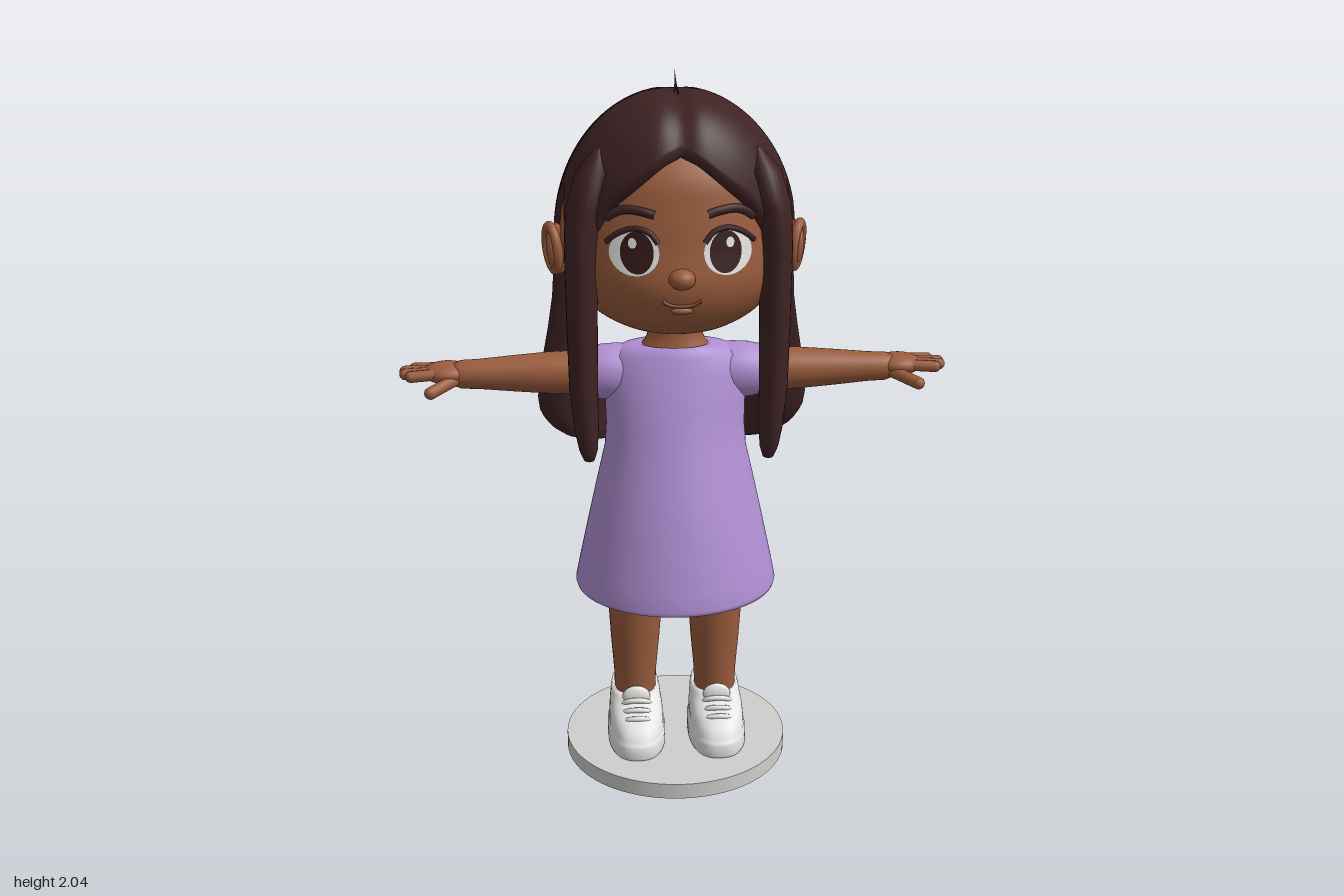
import * as THREE from 'three';

const material = (name, color, side = THREE.FrontSide) => {
  const m = new THREE.MeshStandardMaterial({ color, side });
  m.name = name;
  return m;
};

// Smooth interpolation through [key, value] points sorted by key
function smooth(points, x) {
  const n = points.length;
  if (x <= points[0][0]) return points[0][1];
  if (x >= points[n - 1][0]) return points[n - 1][1];
  let i = 0;
  while (points[i + 1][0] < x) i++;
  const slope = (k) => {
    const a = points[Math.max(k - 1, 0)], b = points[Math.min(k + 1, n - 1)];
    return (b[1] - a[1]) / (b[0] - a[0]);
  };
  const [x0, y0] = points[i], [x1, y1] = points[i + 1], h = x1 - x0, t = (x - x0) / h;
  return y0 * (1 + 2 * t) * (1 - t) ** 2 + slope(i) * h * t * (1 - t) ** 2
    + y1 * t * t * (3 - 2 * t) + slope(i + 1) * h * t * t * (t - 1);
}

// Closed rings from top to bottom; point(row, angle) gives [x, y, z], angle 0 is the front
function loft(rows, cols, point) {
  const pos = [], index = [];
  for (let i = 0; i < rows; i++) {
    for (let j = 0; j < cols; j++) pos.push(...point(i, (j / cols) * Math.PI * 2));
  }
  for (let i = 0; i < rows - 1; i++) {
    for (let j = 0; j < cols; j++) {
      const a = i * cols + j, c = i * cols + (j + 1) % cols, b = a + cols, d = c + cols;
      index.push(a, b, c, c, b, d);
    }
  }
  const g = new THREE.BufferGeometry();
  g.setAttribute('position', new THREE.Float32BufferAttribute(pos, 3));
  g.setIndex(index);
  g.computeVertexNormals();
  return g;
}

// Loft of ellipses [y, halfWidth, halfDepth, centreX, centreZ]
const ellipses = (s, cols = 40) => loft(s.length, cols, (i, a) => {
  const [y, rx, rz, cx = 0, cz = 0] = s[i];
  return [cx + rx * Math.sin(a), y, cz + rz * Math.cos(a)];
});

const tube = (points, r, steps = 16) => new THREE.TubeGeometry(
  new THREE.CatmullRomCurve3(points.map((p) => new THREE.Vector3(...p))), steps, r, 8);

const ball = (x, y, z, rx, ry, rz) =>
  new THREE.SphereGeometry(1, 28, 20).scale(rx, ry, rz).translate(x, y, z);

function capsule(a, b, r) {
  const p = new THREE.Vector3(...a), d = new THREE.Vector3(...b).sub(p), len = d.length();
  const q = new THREE.Quaternion().setFromUnitVectors(new THREE.Vector3(0, 1, 0), d.clone().normalize());
  return new THREE.CapsuleGeometry(r, len, 6, 12).applyQuaternion(q)
    .translate(p.x + d.x / 2, p.y + d.y / 2, p.z + d.z / 2);
}

function mirrored(geo) {
  const g = geo.clone().scale(-1, 1, 1), ix = g.index.array;
  for (let i = 0; i < ix.length; i += 3) [ix[i], ix[i + 1]] = [ix[i + 1], ix[i]];
  return g;
}

// Head half-width and depth by height
const headW = [[1.335, 0], [1.343, 0.11], [1.37, 0.19], [1.42, 0.255], [1.5, 0.305], [1.6, 0.32], [1.7, 0.31], [1.8, 0.27], [1.9, 0.17]];
const headD = [[1.335, 0], [1.343, 0.13], [1.37, 0.205], [1.42, 0.255], [1.5, 0.28], [1.6, 0.265], [1.7, 0.25], [1.8, 0.225], [1.9, 0.14]];
const faceZ = (x, y) => smooth(headD, y) * Math.sqrt(Math.max(0, 1 - (x / smooth(headW, y)) ** 2));

// Oval plate that follows the face
function facePatch(cx, cy, rx, ry, lift) {
  const g = new THREE.RingGeometry(0, 1, 32, 5), p = g.attributes.position;
  for (let i = 0; i < p.count; i++) {
    const x = cx + rx * p.getX(i), y = cy + ry * p.getY(i);
    p.setXYZ(i, x, y, faceZ(x, y) + lift);
  }
  g.computeVertexNormals();
  return g;
}
const faceLine = (points, r) => tube(points.map(([x, y]) => [x, y, faceZ(x, y) + 0.002]), r);

// Hair outline: width, back depth, and lower edge by angle in degrees from the front
const hairW = [[0.9, 0.32], [0.95, 0.385], [1.05, 0.418], [1.2, 0.392], [1.4, 0.35], [1.6, 0.337]];
const hairB = [[0.9, 0.28], [0.97, 0.318], [1.2, 0.337], [1.4, 0.345], [1.6, 0.337]];
const hairEdge = [[0, 1.855], [10, 1.825], [24, 1.765], [38, 1.7], [48, 1.62], [66, 1.62], [76, 1.72], [84, 1.7],
  [90, 1.6], [97, 1.42], [105, 1.2], [112, 1.04], [120, 0.965], [132, 0.93], [150, 0.912], [180, 0.905]];

function hairPoint(a, y, k) {
  const t = THREE.MathUtils.clamp((y - 1.6) / 0.4, 0, 1), round = Math.sqrt(1 - t * t);
  const c = Math.cos(a), s = Math.sin(a);
  const x = smooth(hairW, y) * round * Math.sign(s) * Math.abs(s) ** (c < 0 ? 0.7 : 1);
  const z = c > 0 ? 0.285 * Math.cbrt(1 - t ** 3) * c : smooth(hairB, y) * round * c;
  // parting groove along the middle of the front and top
  const groove = Math.exp(-((x / 0.035) ** 2)) * THREE.MathUtils.smoothstep(z, -0.12, 0.05);
  return [x * k, y - 0.014 * groove * t, (z - 0.012 * groove) * k];
}

function hairGeometry() {
  const outer = 34, lip = [[0.97, 0.01], [0.92, 0], [0.86, 0.005], [0.8, 0.04], [0.74, 0.2]];
  return loft(outer + lip.length, 120, (i, a) => {
    const deg = THREE.MathUtils.radToDeg(a > Math.PI ? Math.PI * 2 - a : a);
    const edge = smooth(hairEdge, deg);
    if (i >= outer) return hairPoint(a, edge + lip[i - outer][1], lip[i - outer][0]);
    return hairPoint(a, 2 - (1.97 - edge) * (i / (outer - 1)) ** 1.7, 1);
  });
}

export function createModel() {
  const model = new THREE.Group();
  const skin = material('brown skin', 0x9a5c3c);
  const lipTone = material('lip brown', 0x7c432d);
  const hair = material('dark brown hair', 0x3f2324);
  const dress = material('lilac fabric', 0xb08fd3);
  const shoe = material('white shoe', 0xe4e4e2);
  const stone = material('pale grey base', 0xcfcfcc);
  const eyeWhite = material('eye white', 0xeeeeec, THREE.DoubleSide);
  const iris = material('dark iris', 0x341a18, THREE.DoubleSide);

  const add = (name, geo, mat) => {
    const m = new THREE.Mesh(geo, mat);
    m.name = name;
    model.add(m);
  };
  const pair = (name, geo, mat) => {
    add(name + 'Left', geo, mat);
    add(name + 'Right', mirrored(geo), mat);
  };

  // Base
  add('base', new THREE.CylinderGeometry(0.333, 0.333, 0.047, 64).translate(0, 0.0235, 0.02), stone);

  // Shoes: [y, halfWidth, back z, front z]
  const shoeRows = [[0.185, 0, -0.03, -0.03], [0.185, 0.06, -0.095, 0.06], [0.195, 0.07, -0.108, 0.07], [0.18, 0.074, -0.112, 0.085],
    [0.165, 0.076, -0.112, 0.115], [0.15, 0.079, -0.111, 0.155], [0.13, 0.081, -0.11, 0.19], [0.105, 0.082, -0.109, 0.208],
    [0.092, 0.083, -0.11, 0.212], [0.088, 0.087, -0.115, 0.22], [0.055, 0.087, -0.115, 0.22], [0.045, 0.083, -0.11, 0.215], [0.045, 0, 0.05, 0.05]];
  pair('shoe', loft(shoeRows.length, 40, (i, a) => {
    const [y, w, b, f] = shoeRows[i], s = Math.sin(a), c = Math.cos(a);
    return [0.122 + w * Math.sign(s) * Math.abs(s) ** 0.8, y, (b + f) / 2 + (f - b) / 2 * Math.sign(c) * Math.abs(c) ** 0.8];
  }), shoe);
  pair('shoeTongue', ball(0.122, 0.185, 0.072, 0.042, 0.035, 0.016), shoe);
  for (const [y, z] of [[0.181, 0.094], [0.164, 0.122], [0.15, 0.15]]) {
    pair('lace', tube([[0.07, y - 0.022, z - 0.02], [0.1, y, z], [0.144, y, z], [0.174, y - 0.022, z - 0.02]], 0.008), shoe);
  }

  // Legs
  pair('leg', ellipses([[0.62, 0.086, 0.084, 0.12, 0.005], [0.5, 0.083, 0.081, 0.12, 0.003], [0.35, 0.073, 0.074, 0.121, -0.002],
    [0.24, 0.064, 0.066, 0.122, -0.006], [0.16, 0.062, 0.064, 0.122, -0.008]], 28), skin);

  // Dress with closed underside
  add('dress', ellipses([[1.272, 0, 0], [1.278, 0.085, 0.07], [1.284, 0.105, 0.077], [1.276, 0.15, 0.086], [1.255, 0.192, 0.096],
    [1.2, 0.205, 0.11, 0, 0.005], [1.12, 0.202, 0.13, 0, 0.01], [1.05, 0.2, 0.146, 0, 0.014], [0.98, 0.205, 0.165, 0, 0.017],
    [0.88, 0.228, 0.197, 0, 0.019], [0.75, 0.257, 0.235, 0, 0.02], [0.62, 0.285, 0.265, 0, 0.02], [0.565, 0.296, 0.275, 0, 0.02],
    [0.552, 0.292, 0.271, 0, 0.02], [0.548, 0.28, 0.26, 0, 0.02], [0.552, 0.15, 0.14, 0, 0.02], [0.552, 0, 0, 0, 0.02]], 64), dress);
  const alongX = (profile) => new THREE.LatheGeometry(profile.map(([x, r]) => new THREE.Vector2(r, x)), 28)
    .rotateZ(-Math.PI / 2).translate(0, 1.195, -0.005);
  pair('sleeve', alongX([[0.1, 0.07], [0.16, 0.083], [0.21, 0.08], [0.245, 0.073], [0.248, 0.068], [0.24, 0.05]]), dress);

  // Arms and hands
  pair('arm', alongX([[0.15, 0.06], [0.27, 0.063], [0.36, 0.06], [0.46, 0.052], [0.56, 0.043], [0.61, 0.041], [0.64, 0.03], [0.65, 0]]), skin);
  pair('palm', ball(0.65, 1.2, -0.013, 0.07, 0.031, 0.057), skin);
  [[0.745, -0.056], [0.77, -0.028], [0.768, 0.001], [0.75, 0.028]].forEach(([tip, z], i) =>
    pair('finger' + (i + 1), capsule([0.66, 1.203, z * 0.75 - 0.006], [tip, 1.2, z], 0.0165), skin));
  pair('thumb', capsule([0.62, 1.188, 0.012], [0.692, 1.168, 0.083], 0.018), skin);

  // Neck and head
  add('neck', ellipses([[1.42, 0.075, 0.065], [1.32, 0.075, 0.065], [1.29, 0.086, 0.072], [1.265, 0.11, 0.08]], 32), skin);
  add('head', loft(36, 72, (i, a) => {
    const y = 1.9 - 0.565 * Math.sin(i / 35 * Math.PI / 2);
    return [smooth(headW, y) * Math.sin(a), y, smooth(headD, y) * Math.cos(a) * (Math.cos(a) < 0 ? 0.9 : 1)];
  }), skin);
  add('nose', ball(0, 1.532, 0.278, 0.036, 0.028, 0.034), skin);
  add('mouth', faceLine([[-0.052, 1.472], [-0.03, 1.46], [0, 1.457], [0.03, 1.46], [0.052, 1.472]], 0.005), lipTone);
  add('lowerLip', ball(0, 1.443, 0.264, 0.03, 0.011, 0.012), skin);
  pair('ear', ball(0, 0, 0, 0.026, 0.072, 0.047).rotateY(0.45).rotateZ(-0.1).translate(0.328, 1.56, 0.01), skin);
  pair('earRim', new THREE.TorusGeometry(0.05, 0.014, 10, 28).scale(0.8, 1.2, 1).rotateY(Math.PI / 2 - 0.4)
    .rotateZ(-0.1).translate(0.342, 1.562, 0.014), skin);

  // Eyes and brows
  pair('eyeWhite', facePatch(0.125, 1.598, 0.066, 0.06, 0.003), eyeWhite);
  pair('iris', facePatch(0.118, 1.6, 0.044, 0.056, 0.006), iris);
  pair('eyeGlint', facePatch(0.13, 1.625, 0.011, 0.014, 0.009), eyeWhite);
  pair('upperLash', faceLine([[0.062, 1.625], [0.085, 1.652], [0.125, 1.662], [0.165, 1.648], [0.198, 1.622]], 0.0075), hair);
  pair('eyebrow', faceLine([[0.07, 1.698], [0.1, 1.706], [0.145, 1.71], [0.175, 1.7], [0.195, 1.685]], 0.012), hair);

  // Hair with long back and two front locks
  add('hair', hairGeometry(), hair);
  pair('frontLock', ellipses([[1.86, 0.01, 0.02, 0.21, 0.13], [1.8, 0.05, 0.07, 0.225, 0.145], [1.7, 0.05, 0.078, 0.255, 0.15],
    [1.6, 0.046, 0.07, 0.264, 0.155], [1.4, 0.043, 0.064, 0.265, 0.156], [1.2, 0.04, 0.054, 0.264, 0.158], [1.08, 0.034, 0.046, 0.258, 0.163],
    [1.02, 0.026, 0.035, 0.254, 0.166], [0.99, 0.015, 0.02, 0.252, 0.167], [0.982, 0, 0, 0.252, 0.167]], 24), hair);

  return model;
}
